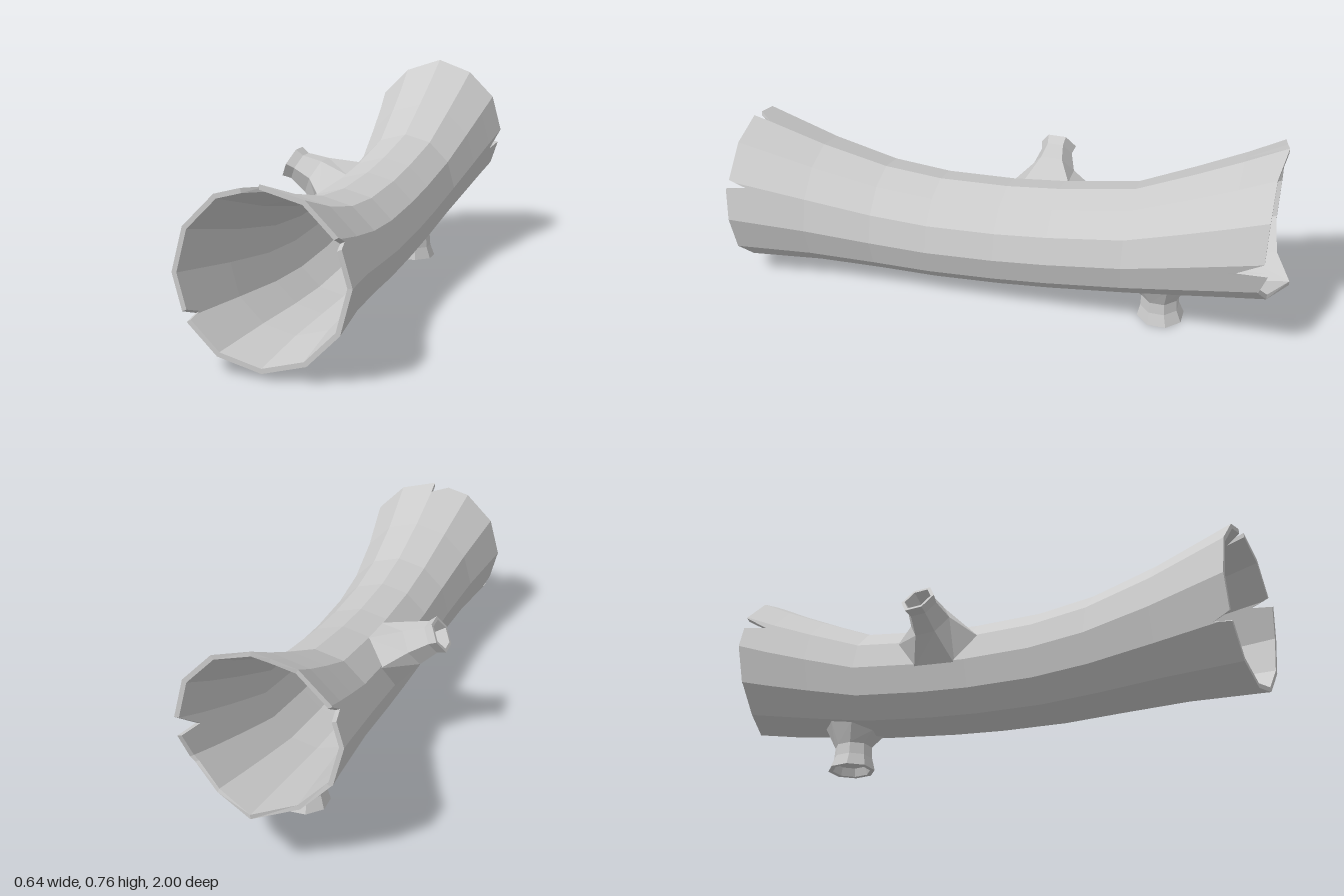
import * as THREE from 'three';

const RAD = Math.PI / 180;
const CX = 0.037;      // x of the log's axis
const WALL = 0.016;    // thickness of the shell

// Log profile: z, centre height, radius
const PROFILE = [
  [1.0, 0.303, 0.285], [0.72, 0.27, 0.234], [0.48, 0.245, 0.206], [0.27, 0.238, 0.197],
  [0.02, 0.252, 0.194], [-0.17, 0.273, 0.195], [-0.44, 0.315, 0.2], [-0.64, 0.38, 0.228],
  [-0.8, 0.435, 0.252], [-0.93, 0.483, 0.275], [-1.0, 0.5, 0.28],
];

// Rim stations: angle -> [front z, back z]; extra angles form the split notches
const FRONT = 0.99, BACK = -0.92;
const STATIONS = {
  0: [FRONT, -0.92], 24: [1, BACK], 28: [0.93, BACK], 31: [0.99, BACK], 60: [FRONT, BACK],
  89.6: [FRONT, -0.94], 90: [0.93, -0.94], 102: [FRONT, -0.93], 120: [FRONT, BACK],
  151: [FRONT, -0.92], 155: [FRONT, -0.83], 161: [FRONT, -0.92], 180: [FRONT, BACK],
  205: [FRONT, BACK], 209: [0.93, BACK], 212: [FRONT, BACK], 240: [FRONT, -0.94],
  270: [FRONT, -1], 300: [FRONT, -0.935], 325: [FRONT, -0.91], 330: [FRONT, -0.91],
  347: [FRONT, -0.935], 352: [FRONT, -0.83],
  30: [0.97, BACK], 150: [FRONT, -0.92], 210: [0.95, BACK],
};

// Point on the twelve-sided log at an angle (degrees) and z, moved in by inset
function logPoint(deg, z, inset = 0) {
  let k = 0;
  while (k < PROFILE.length - 2 && z < PROFILE[k + 1][0]) k++;
  const [z0, y0, r0] = PROFILE[k], [z1, y1, r1] = PROFILE[k + 1];
  const t = (z - z0) / (z1 - z0);
  const facet = (((deg % 30) + 30) % 30) - 15;
  const r = (r0 + (r1 - r0) * t - inset) * Math.cos(15 * RAD) / Math.cos(facet * RAD);
  return new THREE.Vector3(CX + r * Math.cos(deg * RAD), y0 + (y1 - y0) * t + r * Math.sin(deg * RAD), z);
}

// Skin over columns of points; columns wrap around, rows wrap if closed
function skin(columns, closed) {
  const n = columns.length, m = columns[0].length, index = [];
  for (let i = 0; i < n; i++) {
    for (let j = 0; j < (closed ? m : m - 1); j++) {
      const i2 = (i + 1) % n, j2 = (j + 1) % m;
      const a = i * m + j, b = i * m + j2, c = i2 * m + j2, d = i2 * m + j;
      index.push(a, b, d, b, c, d);
    }
  }
  const geo = new THREE.BufferGeometry().setFromPoints(columns.flat());
  geo.setIndex(index);
  const flat = geo.toNonIndexed();
  flat.computeVertexNormals();
  return flat;
}

// Hollow trunk: outer wall front to back, then inner wall back to front
function trunkGeometry() {
  const middle = PROFILE.slice(1, 9).map((p) => p[0]);
  const angles = Object.keys(STATIONS).map(Number).sort((a, b) => a - b);
  const columns = angles.map((deg) => {
    const [front, back] = STATIONS[deg];
    const zs = [front, ...middle, back];
    return [
      ...zs.map((z) => logPoint(deg, z)),
      ...zs.reverse().map((z) => logPoint(deg, z, WALL)),
    ];
  });
  return skin(columns, true);
}

// Broken branch: root spread on the log, rings [x, y, z, radius] along it, hollowed tip
function branchGeometry({ dir, sides, rootZ, spreadDeg, spreadZ, rings, depth }) {
  const [dx, dy] = dir;
  const rootDeg = Math.atan2(dy, dx) / RAD;
  const [tx, ty, tz, tr] = rings[rings.length - 1];
  const sunk = [tx - dx * depth, ty - dy * depth, tz];
  const all = [...rings, [tx, ty, tz, tr * 0.8], [...sunk, tr * 0.7], [...sunk, 0]];
  const columns = [];
  for (let i = 0; i < sides; i++) {
    const a = ((i + 0.5) / sides) * Math.PI * 2, c = Math.cos(a), s = Math.sin(a);
    columns.push([
      logPoint(rootDeg + spreadDeg * c, rootZ - spreadZ * s, 0.004),
      ...all.map(([x, y, z, r]) => new THREE.Vector3(x - dy * r * c, y + dx * r * c, z - r * s)),
    ]);
  }
  return skin(columns, false);
}

export function createModel() {
  const group = new THREE.Group();
  group.name = 'hollowLog';
  const material = new THREE.MeshStandardMaterial({
    color: 0xcccccc, flatShading: true, side: THREE.DoubleSide,
  });
  const add = (name, geometry) => {
    const mesh = new THREE.Mesh(geometry, material);
    mesh.name = name;
    group.add(mesh);
  };

  add('trunk', trunkGeometry());

  // Side branch, pointing outwards and up
  add('sideBranch', branchGeometry({
    dir: [-0.876, 0.482], sides: 6, rootZ: -0.1, spreadDeg: 38, spreadZ: 0.165, depth: 0.05,
    rings: [[-0.2, 0.403, -0.09, 0.078], [-0.265, 0.435, -0.085, 0.058], [-0.295, 0.45, -0.085, 0.066]],
  }));

  // Short stub under the log that reaches the ground
  add('lowerStub', branchGeometry({
    dir: [0, -1], sides: 8, rootZ: -0.55, spreadDeg: 30, spreadZ: 0.115, depth: 0.03,
    rings: [[CX, 0.088, -0.556, 0.069], [CX, 0.045, -0.557, 0.072], [CX, 0, -0.562, 0.087]],
  }));

  return group;
}
